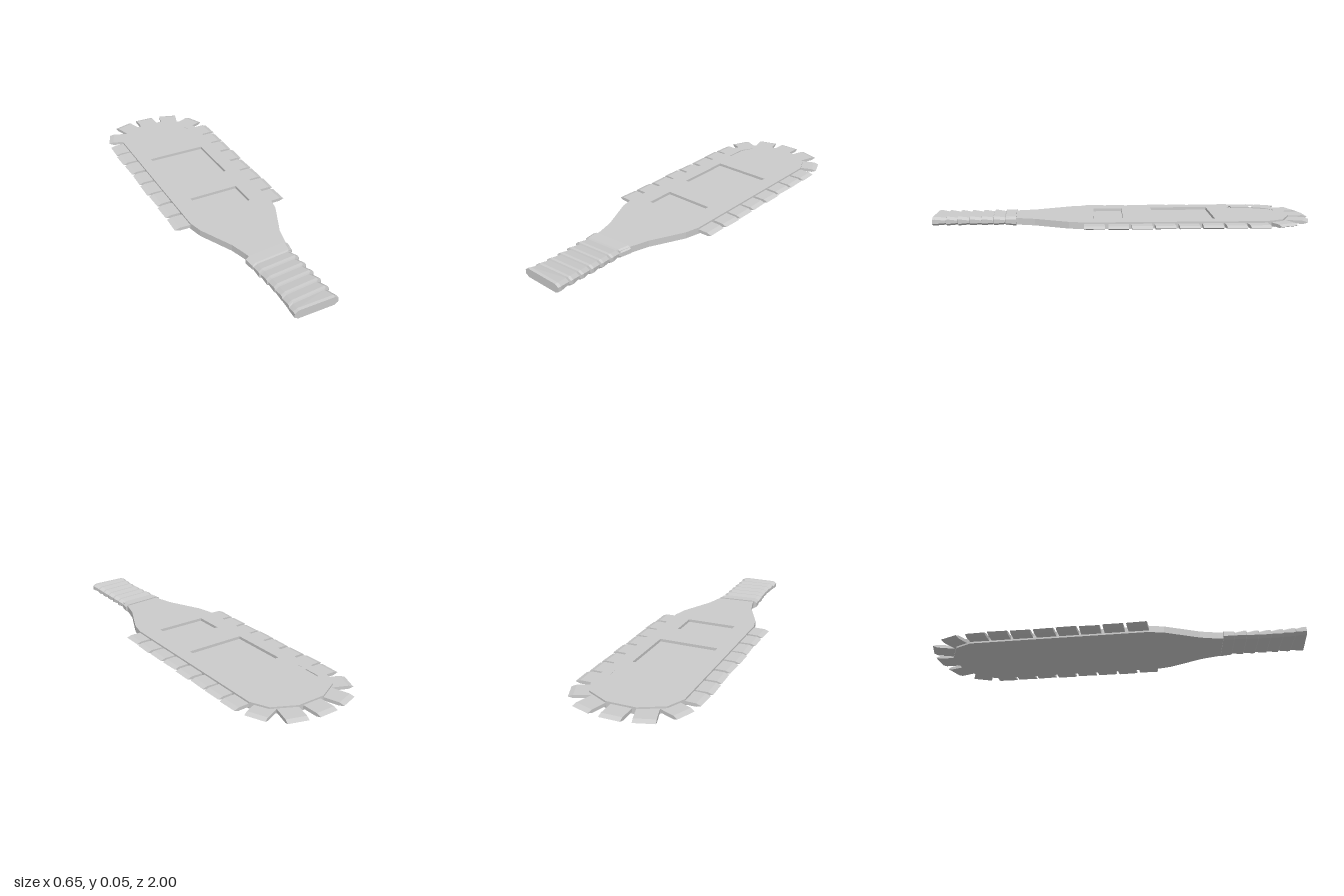
import * as THREE from 'three';

const material = new THREE.MeshStandardMaterial({ color: 0xcccccc, flatShading: true });

function addMesh(parent, name, geometry) {
  const mesh = new THREE.Mesh(geometry, material);
  mesh.name = name;
  parent.add(mesh);
  return mesh;
}

// Mirror half of an outline (x > 0) into a closed list of points in x, z
function mirrored(half) {
  const other = half.map(([x, z]) => [-x, z]).reverse();
  return [...half, ...other].map(([x, z]) => new THREE.Vector2(x, z));
}

// Flat slab lying between heights y0 and y1
function slab(outline, holes, y0, y1) {
  const shape = new THREE.Shape(outline);
  shape.holes = holes.map((h) => new THREE.Path(h));
  const geometry = new THREE.ExtrudeGeometry(shape, { depth: y1 - y0, bevelEnabled: false });
  return geometry.rotateX(Math.PI / 2).translate(0, y1, 0);
}

function rectangle(x0, x1, z0, z1) {
  return [[x0, z0], [x1, z0], [x1, z1], [x0, z1]].map(([x, z]) => new THREE.Vector2(x, z));
}

// Sharp-edged tooth pointing along +x, its cutting edge at the origin
function toothGeometry(width, length = 0.115) {
  const profile = new THREE.Shape([[-length, 0.016], [-0.025, 0.016], [0, 0.0245], [-0.025, 0.033], [-length, 0.033]]
    .map(([x, y]) => new THREE.Vector2(x, y)));
  return new THREE.ExtrudeGeometry(profile, { depth: width, bevelEnabled: false }).translate(0, 0, -width / 2);
}

// Eight-sided cross-sections joined along z
function loft(sections) {
  const rings = sections.map(([z, xl, xr, y0, y1]) => {
    const cx = 0.02, cy = 0.012;
    return [[xl + cx, y0], [xr - cx, y0], [xr, y0 + cy], [xr, y1 - cy],
      [xr - cx, y1], [xl + cx, y1], [xl, y1 - cy], [xl, y0 + cy]]
      // the binding runs slightly askew
      .map(([x, y]) => [x, y, z - (z < 0.98 ? 0.08 * x : 0)]);
  });
  const position = [];
  const n = 8;
  for (let i = 0; i + 1 < rings.length; i++) {
    for (let j = 0; j < n; j++) {
      const a = rings[i][j], b = rings[i][(j + 1) % n];
      const c = rings[i + 1][(j + 1) % n], d = rings[i + 1][j];
      position.push(...a, ...b, ...c, ...a, ...c, ...d);
    }
  }
  const first = rings[0], last = rings[rings.length - 1];
  for (let j = 1; j < n - 1; j++) {
    position.push(...last[0], ...last[j], ...last[j + 1]);
    position.push(...first[0], ...first[j + 1], ...first[j]);
  }
  const geometry = new THREE.BufferGeometry();
  geometry.setAttribute('position', new THREE.Float32BufferAttribute(position, 3));
  geometry.computeVertexNormals();
  return geometry;
}

export function createModel() {
  const model = new THREE.Group();
  model.name = 'toothedClub';

  // Paddle: solid base and an upper layer with three sunken panels
  const outline = mirrored([[0.1, 0.62], [0.11, 0.55], [0.135, 0.46], [0.22, 0.28], [0.238, 0.2],
    [0.238, -0.74], [0.195, -0.83], [0.075, -0.89]]);
  const tipPanel = mirrored([[0.19, -0.6], [0.19, -0.73], [0.155, -0.79], [0.07, -0.84]]);
  const panels = [tipPanel, rectangle(-0.165, 0.16, -0.48, -0.165), rectangle(-0.14, 0.135, 0, 0.157)];
  const paddle = new THREE.Group();
  paddle.name = 'paddle';
  model.add(paddle);
  addMesh(paddle, 'paddleBase', slab(outline, [], 0.007, 0.027));
  addMesh(paddle, 'paddlePanelFrame', slab(outline, panels, 0.027, 0.042));

  // Teeth down both sides, each set a little differently
  const teeth = new THREE.Group();
  teeth.name = 'teeth';
  model.add(teeth);
  for (const side of [1, -1]) {
    for (let i = 0; i < 8; i++) {
      const tooth = addMesh(teeth, 'sideTooth', toothGeometry(0.104));
      tooth.position.set(side * (0.321 + 0.003 * Math.sin(i * 2.3 + side)), 0, -0.69 + i * 0.12);
      tooth.rotation.y = (side > 0 ? 0 : Math.PI) + 0.035 * Math.sin(i * 1.7 + side);
    }
    // Teeth fanned around the tip
    for (const [x, z, angle] of [[0.155, -0.975, 1.27], [0.29, -0.843, 0.4]]) {
      const tooth = addMesh(teeth, 'tipTooth', toothGeometry(0.102, 0.12));
      tooth.position.set(side * x, 0, z);
      tooth.rotation.y = side > 0 ? angle : Math.PI - angle;
    }
  }
  const endTooth = addMesh(teeth, 'endTooth', toothGeometry(0.105, 0.125));
  endTooth.position.set(-0.003, 0, -1);
  endTooth.rotation.y = Math.PI / 2;

  // Grip: a collar followed by stepped turns of binding
  const sections = [[0.57, -0.127, 0.118, 0, 0.048], [0.625, -0.122, 0.108, 0.001, 0.047]];
  const turns = 6;
  const start = 0.63, step = (1 - start) / turns;
  for (let i = 0; i < turns; i++) {
    const waist = 0.012 * Math.sin((Math.PI * (i + 0.5)) / turns);
    const z = start + i * step;
    sections.push([z, -0.122 + waist, 0.097, 0.003, 0.04]);
    sections.push([z + step * 0.75, -0.124 + waist, 0.108, 0.001, 0.048]);
    sections.push([z + step * (i === turns - 1 ? 1 : 0.95), -0.125 + waist, 0.107, 0.001, 0.047]);
  }
  addMesh(model, 'wrappedGrip', loft(sections));
  return model;
}
